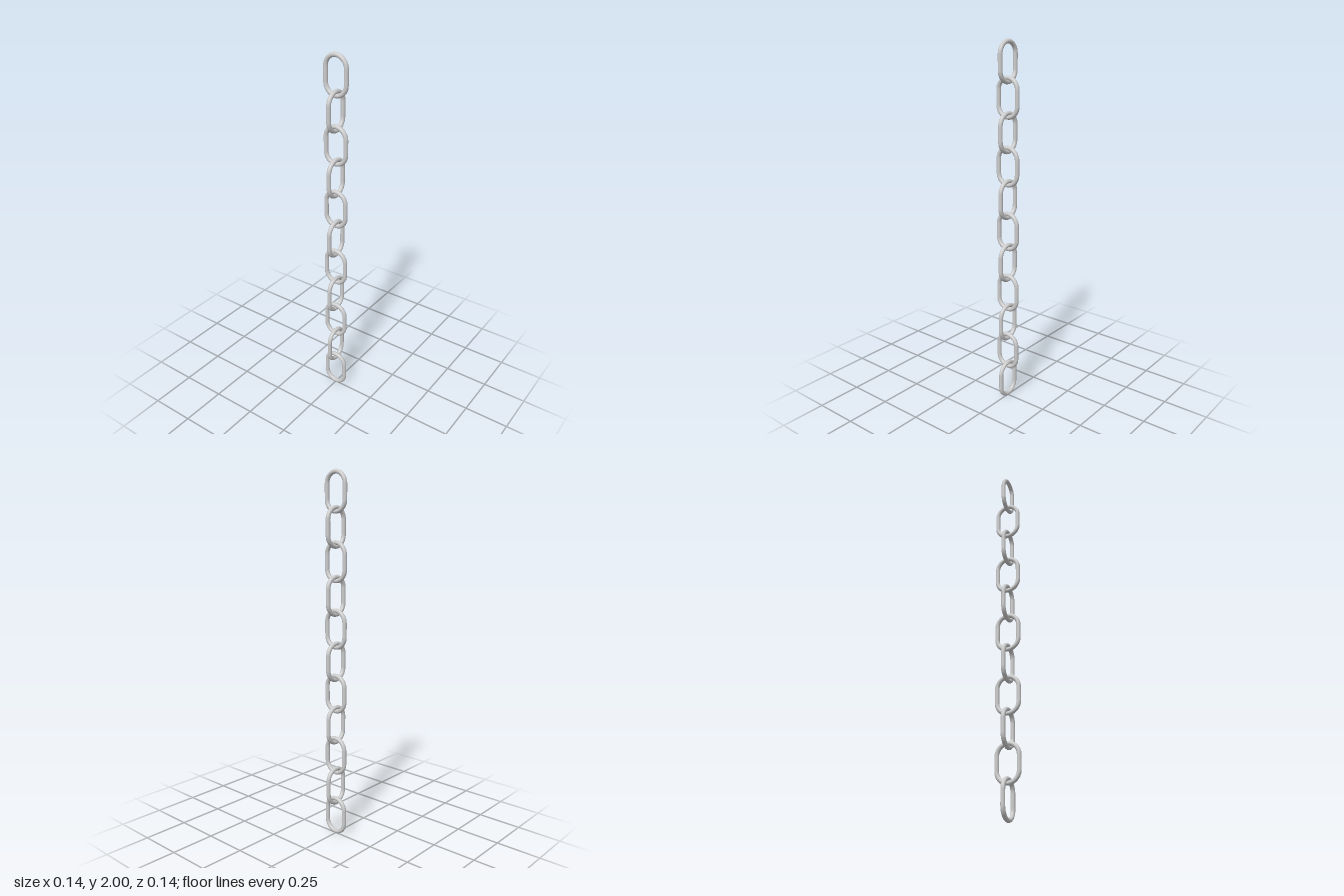
import * as THREE from 'three';

const LINKS = 11;
const LENGTH = 0.222; // outer length of a link
const WIDTH = 0.145; // outer width of a link
const WIRE = 0.0118; // wire radius
const PITCH = (2 - LENGTH) / (LINKS - 1);

// Closed oval centreline: two straight sides joined by half circles
class LinkCurve extends THREE.Curve {
  getPoint(t, target = new THREE.Vector3()) {
    const r = WIDTH / 2 - WIRE;
    const side = LENGTH - WIDTH;
    const arc = Math.PI * r;
    const half = side + arc;
    let d = (t % 1) * 2 * half;
    const sign = d < half ? 1 : -1; // the second half is the first turned by 180 degrees
    if (sign < 0) d -= half;
    if (d < side) return target.set(sign * r, sign * (d - side / 2), 0);
    const a = (d - side) / r;
    return target.set(sign * r * Math.cos(a), sign * (side / 2 + r * Math.sin(a)), 0);
  }
}

export function createModel() {
  const chain = new THREE.Group();
  chain.name = 'chain';
  const material = new THREE.MeshStandardMaterial({ color: 0xcccccc });
  const geometry = new THREE.TubeGeometry(new LinkCurve(), 96, WIRE, 16, true);

  // Each link is turned a quarter from the one before it
  for (let i = 0; i < LINKS; i++) {
    const link = new THREE.Mesh(geometry, material);
    link.name = `chainLink${i + 1}`;
    link.position.y = LENGTH / 2 + i * PITCH;
    link.rotation.y = (i % 2) * Math.PI / 2;
    chain.add(link);
  }
  return chain;
}
